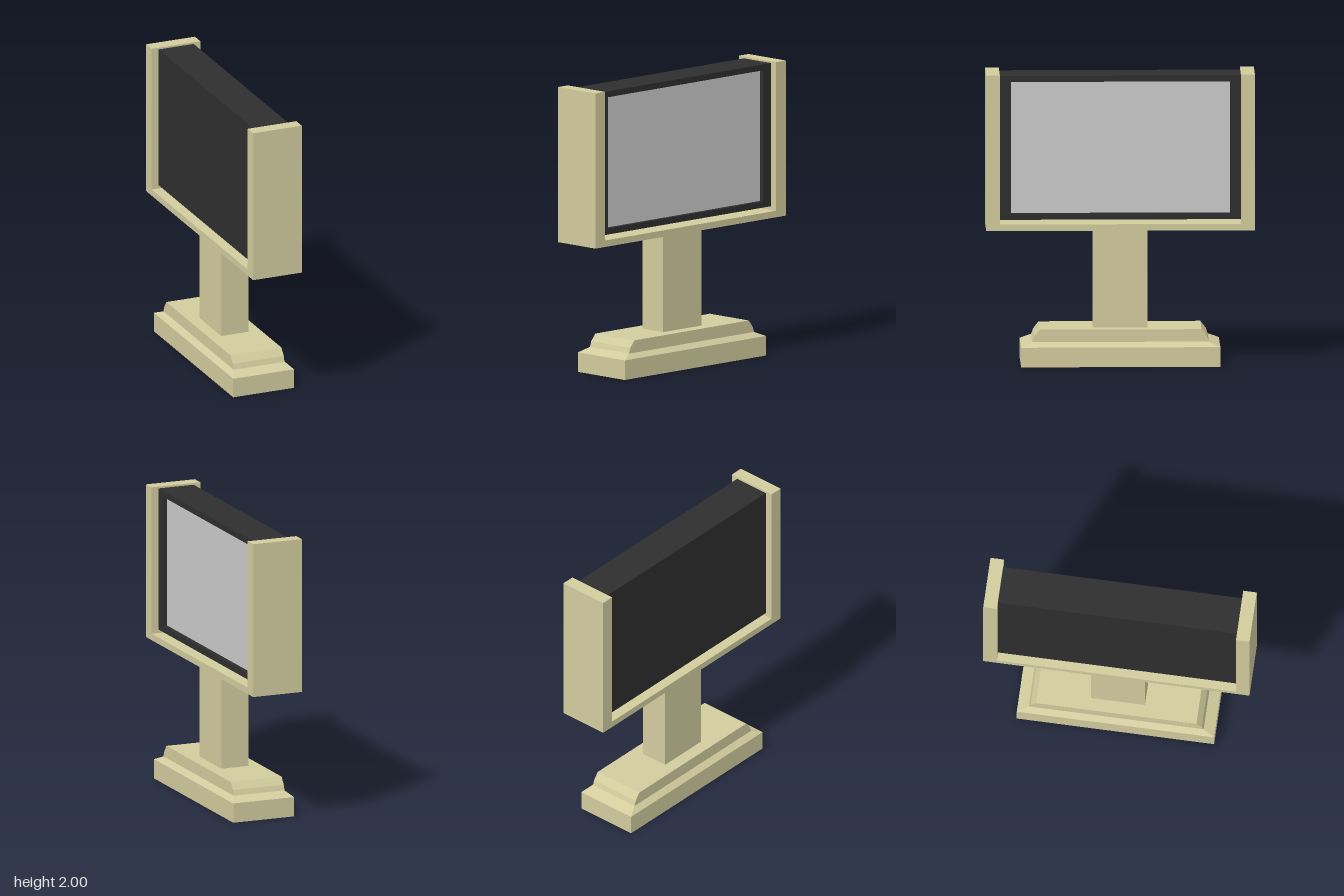
import * as THREE from 'three';

const material = (color) => new THREE.MeshStandardMaterial({ color, flatShading: true });

function part(name, geometry, mat) {
  const mesh = new THREE.Mesh(geometry, mat);
  mesh.name = name;
  return mesh;
}

// Axis-aligned box given by its limits.
function block(x0, x1, y0, y1, z0, z1) {
  return new THREE.BoxGeometry(x1 - x0, y1 - y0, z1 - z0)
    .translate((x0 + x1) / 2, (y0 + y1) / 2, (z0 + z1) / 2);
}

// Outline drawn in (z, y), extruded along x from x0 to x1.
function extrudeX(shape, x0, x1) {
  return new THREE.ExtrudeGeometry(shape, { depth: x1 - x0, bevelEnabled: false })
    .rotateY(Math.PI / 2).translate(x0, 0, 0);
}

// Stacked rectangular sections [y, halfX, halfZ], joined and capped.
function rectLoft(sections) {
  const rings = sections.map(([y, x, z]) => [[x, y, z], [x, y, -z], [-x, y, -z], [-x, y, z]]);
  const out = [];
  const quad = (a, b, c, d) => out.push(...a, ...b, ...c, ...a, ...c, ...d);
  for (let i = 0; i < rings.length - 1; i++) {
    for (let k = 0; k < 4; k++) {
      const n = (k + 1) % 4;
      quad(rings[i][k], rings[i][n], rings[i + 1][n], rings[i + 1][k]);
    }
  }
  quad(...rings[rings.length - 1]);
  quad(...[...rings[0]].reverse());
  const geometry = new THREE.BufferGeometry();
  geometry.setAttribute('position', new THREE.Float32BufferAttribute(out, 3));
  geometry.computeVertexNormals();
  return geometry;
}

const points = (list) => list.map(([a, b]) => new THREE.Vector2(a, b));

export function createModel() {
  const group = new THREE.Group();
  group.name = 'displayOnStand';
  const tan = material(0xd2cc9e);
  const black = material(0x2e2e2e);
  const grey = material(0xcccccc);

  // Stepped plinth: bevelled slab with a raised top that tapers at its ends
  group.add(part('base', rectLoft([
    [0, 0.225, 0.677], [0.135, 0.225, 0.677], [0.168, 0.188, 0.6],
    [0.205, 0.188, 0.587], [0.253, 0.188, 0.55],
  ]), tan));

  // Column
  group.add(part('column', block(-0.1, 0.1, 0.25, 0.935, -0.185, 0.185), tan));

  // U-shaped cradle
  const cradle = new THREE.Shape(points([
    [-0.913, 0.93], [0.913, 0.93], [0.913, 2], [0.82, 2],
    [0.82, 0.975], [-0.82, 0.975], [-0.82, 2], [-0.913, 2],
  ]));
  group.add(part('cradle', extrudeX(cradle, -0.18, 0.18), tan));

  // Monitor housing with a raised bezel around the recessed screen
  const monitor = new THREE.Group();
  monitor.name = 'monitor';
  monitor.add(part('housing', block(-0.13, 0.095, 1, 1.988, -0.819, 0.819), black));
  const rim = new THREE.Shape(points([[-0.819, 1], [0.819, 1], [0.819, 1.988], [-0.819, 1.988]]));
  rim.holes.push(new THREE.Path(points([[-0.745, 1.042], [-0.745, 1.947], [0.745, 1.947], [0.745, 1.042]])));
  monitor.add(part('bezel', extrudeX(rim, 0.095, 0.13), black));
  monitor.add(part('screen', block(0.09, 0.098, 1.042, 1.947, -0.745, 0.745), grey));
  group.add(monitor);

  return group;
}
